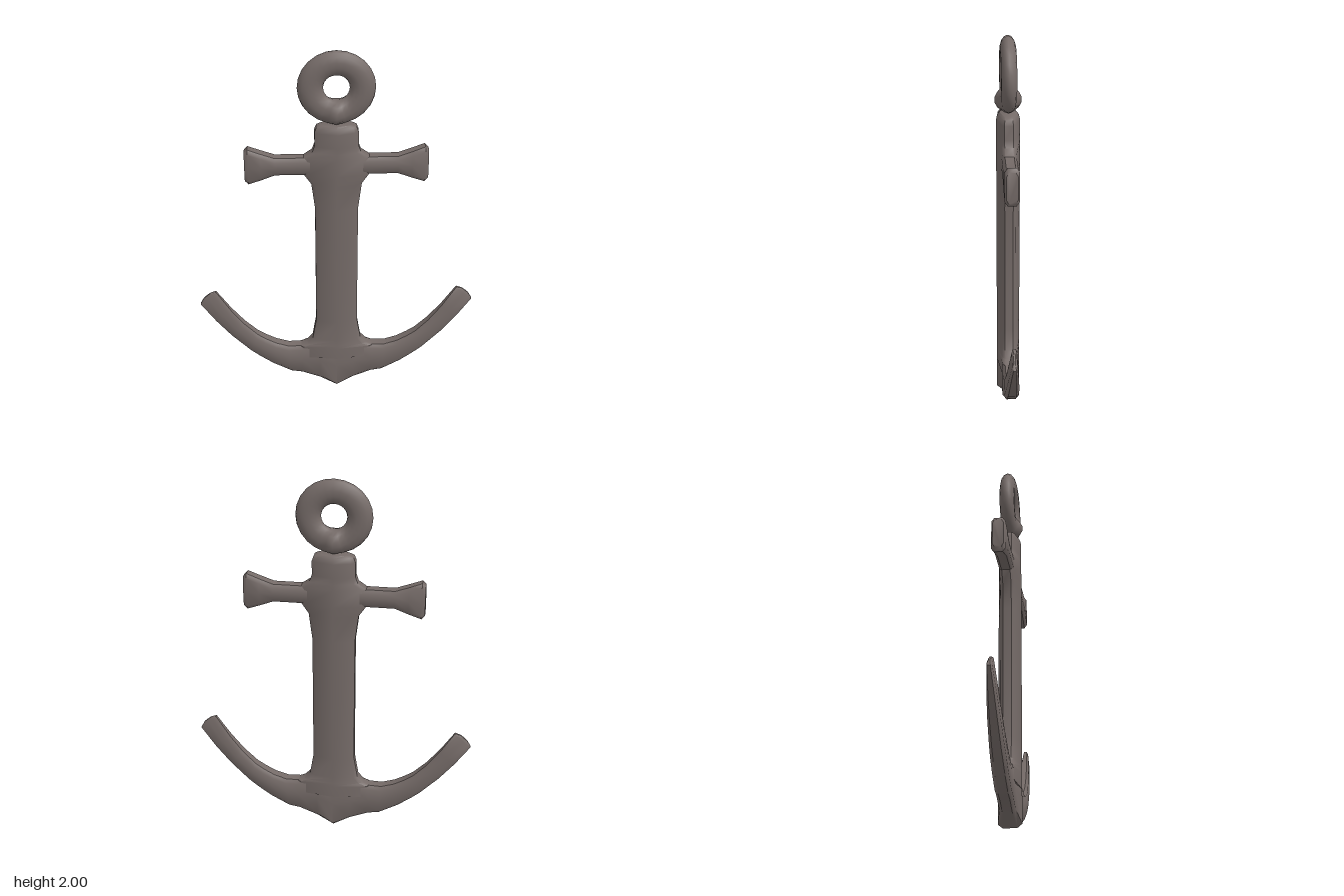
import * as THREE from 'three';
import { toCreasedNormals } from 'three/addons/utils/BufferGeometryUtils.js';

// Bevelled cross-section between two edge points, with half thickness t and mid-line half thickness ridge
function section([ax, ay, bx, by, t, ridge = t]) {
  const length = Math.hypot(bx - ax, by - ay);
  const s = Math.min(0.02, length * 0.3) / length;
  const front = [[0, 0.6 * t], [s, t], [0.5, ridge], [1 - s, t], [1, 0.6 * t]];
  const back = front.map(([u, z]) => [u, -z]).reverse();
  return [...front, ...back].map(([u, z]) => [ax + (bx - ax) * u, ay + (by - ay) * u, z]);
}

// Skin a row of cross-sections and close both ends
function loft(rows) {
  const rings = rows.map(section);
  const n = rings[0].length;
  const points = rings.flat();
  const index = [];
  for (let i = 0; i < rings.length - 1; i++) {
    for (let j = 0; j < n; j++) {
      const a = i * n + j, b = i * n + (j + 1) % n;
      index.push(a, a + n, b, b, a + n, b + n);
    }
  }
  const end = (rings.length - 1) * n;
  for (let j = 1; j < n - 1; j++) {
    index.push(0, j, j + 1, end, end + j + 1, end + j);
  }
  const geometry = new THREE.BufferGeometry();
  geometry.setAttribute('position', new THREE.Float32BufferAttribute(points.flat(), 3));
  geometry.setIndex(index);
  return toCreasedNormals(geometry, 0.85);
}

// Complete a right-hand half with its reflection
function mirrored(half) {
  const other = half.filter((r) => r[0] > 0)
    .map(([ax, ay, bx, by, ...rest]) => [-ax, ay, -bx, by, ...rest]);
  return [...other.reverse(), ...half];
}

export function createModel() {
  const group = new THREE.Group();
  const iron = new THREE.MeshStandardMaterial({ color: 0x756b68 });
  iron.name = 'dark iron';
  const add = (name, geometry) => {
    const mesh = new THREE.Mesh(geometry, iron);
    mesh.name = name;
    group.add(mesh);
    return mesh;
  };

  // Upright shank: height, half width, edge thickness, ridge thickness
  const shank = [
    [0.2, 0.2, 0.036, 0.06], [0.268, 0.2, 0.036, 0.06], [0.285, 0.16, 0.036, 0.06],
    [0.32, 0.13, 0.036, 0.06], [0.44, 0.11, 0.036, 0.06], [1.14, 0.11, 0.036, 0.06],
    [1.285, 0.128, 0.036, 0.06], [1.34, 0.165, 0.036, 0.06], [1.435, 0.165, 0.036, 0.06],
    [1.465, 0.122, 0.036, 0.06], [1.5, 0.11, 0.036, 0.06], [1.575, 0.11, 0.036, 0.06],
    [1.602, 0.1, 0.034, 0.054], [1.613, 0.078, 0.028, 0.044],
  ];
  add('shank', loft(shank.map(([y, w, t, r]) => [w, y, -w, y, t, r])));

  // Crossbar with flared ends
  add('stock', loft(mirrored([
    [0, 1.34, 0, 1.435, 0.038], [0.18, 1.34, 0.18, 1.435, 0.038],
    [0.31, 1.34, 0.31, 1.435, 0.038], [0.38, 1.313, 0.38, 1.46, 0.038],
    [0.445, 1.29, 0.445, 1.485, 0.036], [0.463, 1.308, 0.463, 1.467, 0.028],
  ])));

  // Curved arms, from the pointed crown to the thin tips
  add('arms', loft(mirrored([
    [0, 0.005, 0, 0.3, 0.06], [0.09, 0.05, 0.09, 0.29, 0.04],
    [0.19, 0.09, 0.19, 0.271, 0.04], [0.25, 0.1, 0.26, 0.268, 0.04],
    [0.35, 0.155, 0.33, 0.29, 0.039], [0.42, 0.205, 0.385, 0.32, 0.038],
    [0.47, 0.245, 0.43, 0.35, 0.036], [0.57, 0.345, 0.5, 0.42, 0.031],
    [0.65, 0.44, 0.57, 0.51, 0.024], [0.73, 0.55, 0.645, 0.625, 0.013],
    [0.712, 0.585, 0.675, 0.617, 0.005],
  ])));

  // Flattened ring, thickened where it meets the shank
  const torus = new THREE.TorusGeometry(0.129, 0.064, 14, 24);
  const p = torus.attributes.position;
  for (let i = 0; i < p.count; i++) {
    const swell = p.getY(i) < 0 ? Math.max(0, 1 - Math.abs(p.getX(i)) / 0.05) : 0;
    p.setZ(i, p.getZ(i) * (0.62 + 0.46 * swell));
  }
  torus.deleteAttribute('uv');
  add('ring', toCreasedNormals(torus, 1.2)).position.y = 1.807;

  return group;
}
